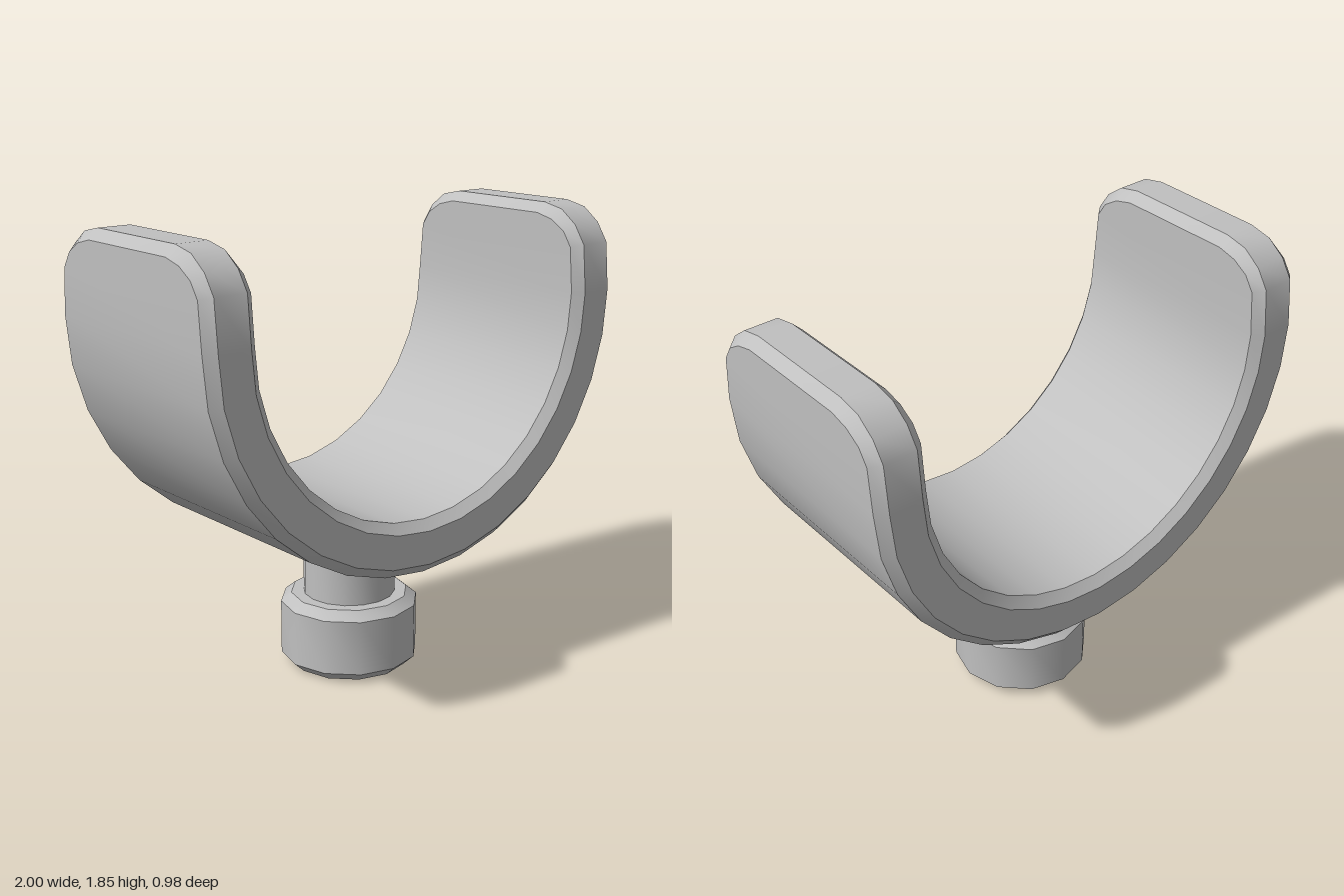
import * as THREE from 'three';
import { toCreasedNormals } from 'three/addons/utils/BufferGeometryUtils.js';

const CENTER_Y = 1.51;
const RADII = [0.785, 0.825, 0.96, 1.0]; // inner face, inner rim, outer rim, outer face
const HALF_WIDTH = 0.488, BEVEL = 0.037;

// Rounded arm tips, top downwards: [rim y, rim z, face y, face z]
const TIP = [
  [1.85, 0.25, 1.81, 0.25],
  [1.83, 0.345, 1.79, 0.33],
  [1.775, 0.42, 1.75, 0.395],
  [1.70, 0.47, 1.69, 0.435],
];

// Eight-point bevelled section; place(radius, isFace) gives [x, y, z]
function section(place) {
  const front = RADII.map((r, i) => place(r, i === 0 || i === 3));
  const back = front.map(([x, y, z]) => [x, y, -z]).reverse();
  return [...front, ...back];
}

function cradleGeometry() {
  const tip = (side) => TIP.map(([ry, rz, fy, fz]) =>
    section((r, face) => [side * r, face ? fy : ry, face ? fz : rz]));
  const arc = [];
  for (let i = 0; i <= 16; i++) {
    const a = (i / 16) * Math.PI;
    arc.push(section((r, face) => [
      r * Math.cos(a), CENTER_Y - r * Math.sin(a), face ? HALF_WIDTH - BEVEL : HALF_WIDTH]));
  }
  const rings = [...tip(1), ...arc, ...tip(-1).reverse()];

  const index = [];
  const quad = (a, b, c, d) => index.push(a, b, c, a, c, d);
  // Skin between neighbouring sections
  for (let k = 0; k < rings.length - 1; k++) {
    for (let j = 0; j < 8; j++) {
      const n = (j + 1) % 8;
      quad(k * 8 + j, k * 8 + 8 + j, k * 8 + 8 + n, k * 8 + n);
    }
  }
  // Tops of both arms
  const last = (rings.length - 1) * 8;
  for (let j = 0; j < 3; j++) {
    quad(j, j + 1, 6 - j, 7 - j);
    quad(last + 7 - j, last + 6 - j, last + j + 1, last + j);
  }
  const geometry = new THREE.BufferGeometry();
  geometry.setAttribute('position', new THREE.Float32BufferAttribute(rings.flat(2), 3));
  geometry.setIndex(index);
  return toCreasedNormals(geometry, 0.6);
}

function turned(profile, sides) {
  const points = profile.map(([r, y]) => new THREE.Vector2(r, y));
  return toCreasedNormals(new THREE.LatheGeometry(points, sides), 0.6);
}

export function createModel() {
  const model = new THREE.Group();
  const grey = new THREE.MeshStandardMaterial({ color: 0xc0c0c0 });
  grey.name = 'grey';
  const add = (name, geometry) => {
    const mesh = new THREE.Mesh(geometry, grey);
    mesh.name = name;
    model.add(mesh);
  };

  // U-shaped cradle with bevelled rim
  add('cradle', cradleGeometry());
  // Round post under the cradle
  add('stem', turned([[0.188, 0.28], [0.188, 0.56]], 16));
  // Wide bevelled foot
  add('foot', turned([[0, 0], [0.24, 0], [0.283, 0.04], [0.283, 0.265], [0.24, 0.3], [0, 0.3]], 12));

  return model;
}
